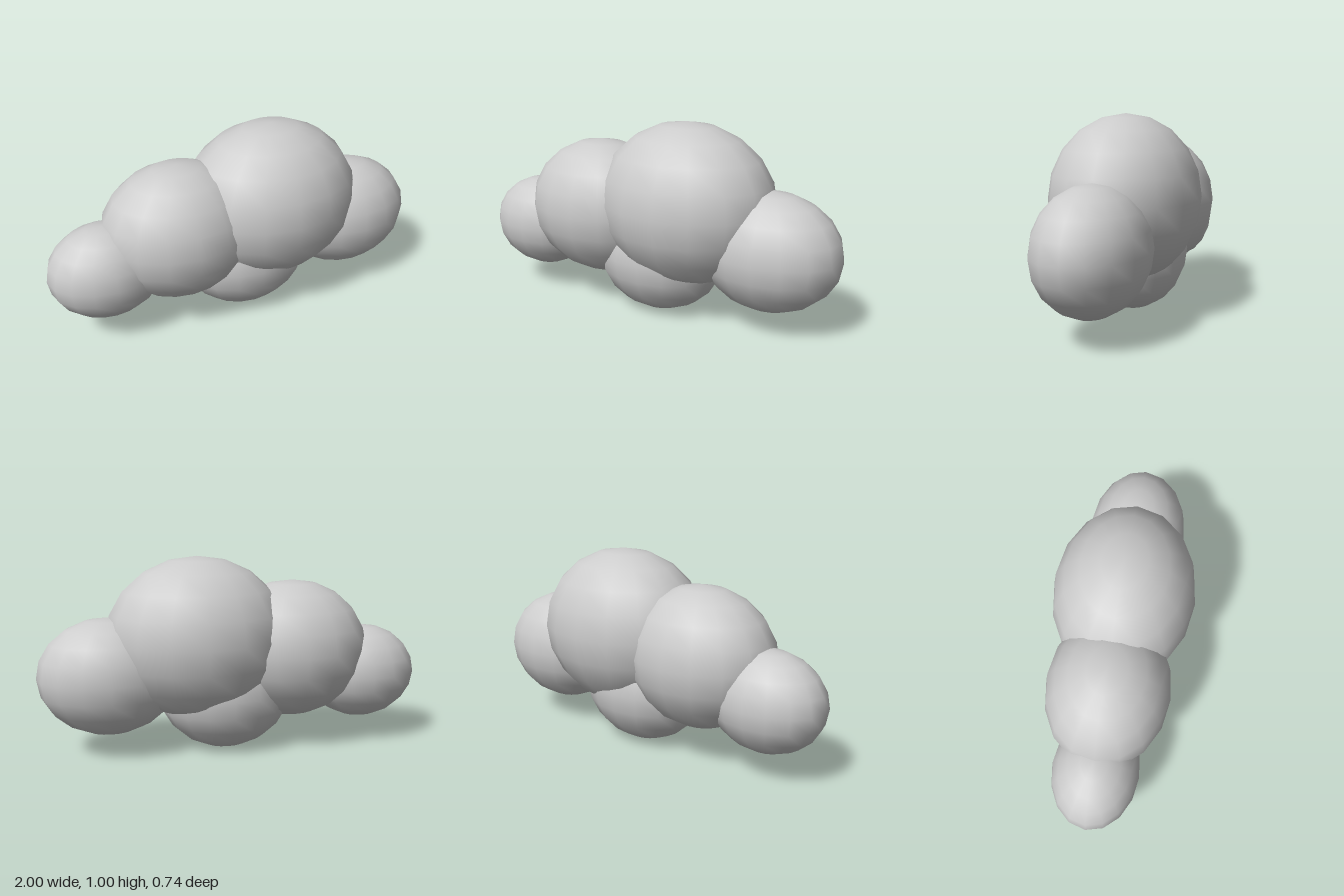
import * as THREE from 'three';

// Each puff: name, centre x, centre y, radii along x, y, z
const PUFFS = [
  ['mainPuff', 0.185, 0.59, 0.47, 0.417, 0.37],
  ['innerLobe', -0.315, 0.517, 0.404, 0.359, 0.319],
  ['smallEndPuff', -0.703, 0.375, 0.297, 0.25, 0.223],
  ['largeEndPuff', 0.64, 0.41, 0.36, 0.3, 0.265],
  ['bottomPuff', 0.042, 0.303, 0.346, 0.3, 0.265],
];

export function createModel() {
  const group = new THREE.Group();
  group.name = 'cloud';

  const cloudGrey = new THREE.MeshStandardMaterial({ color: 0xcccccc });
  cloudGrey.name = 'cloudGrey';

  // One shared smooth sphere, stretched into overlapping puffs
  const sphere = new THREE.SphereGeometry(1, 16, 10);
  for (const [name, x, y, rx, ry, rz] of PUFFS) {
    const puff = new THREE.Mesh(sphere, cloudGrey);
    puff.name = name;
    puff.position.set(x, y, 0);
    puff.scale.set(rx, ry, rz);
    group.add(puff);
  }
  return group;
}
